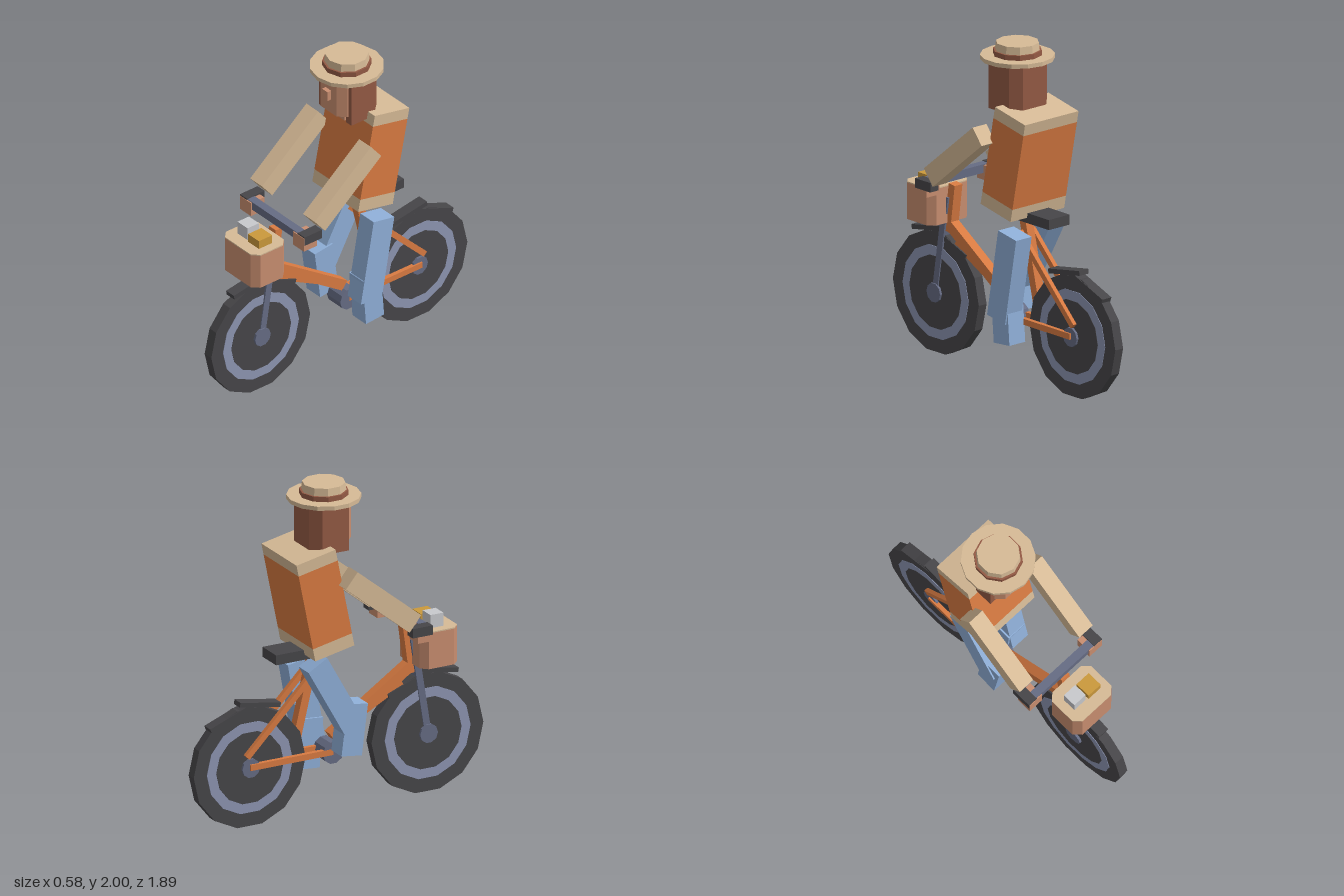
import * as THREE from 'three';

const mat = (name, color) => {
  const m = new THREE.MeshStandardMaterial({ color });
  m.name = name;
  return m;
};

export function createModel() {
  const orange = mat('orange', 0xd97b42), beige = mat('beige', 0xd6ba96), skin = mat('skin', 0xc98e70);
  const brown = mat('brown', 0x945a44), denim = mat('denim', 0x8fafd8), rubber = mat('rubber', 0x474649);
  const steel = mat('steel', 0x666c84), rim = mat('rim', 0x8d95b2);
  const silver = mat('silver', 0xc8c9cd), gold = mat('gold', 0xcb993c);

  const model = new THREE.Group();
  model.name = 'cyclist';
  const group = (name) => {
    const g = new THREE.Group();
    g.name = name;
    model.add(g);
    return g;
  };

  // Faceted mesh
  const add = (parent, name, geo, material) => {
    const flat = geo.index ? geo.toNonIndexed() : geo;
    flat.computeVertexNormals();
    const m = new THREE.Mesh(flat, material);
    m.name = name;
    parent.add(m);
    return m;
  };
  // Box given by its x, y and z ranges
  const box = (parent, name, material, [x0, x1], [y0, y1], [z0, z1]) => {
    const m = add(parent, name, new THREE.BoxGeometry(x1 - x0, y1 - y0, z1 - z0), material);
    m.position.set((x0 + x1) / 2, (y0 + y1) / 2, (z0 + z1) / 2);
    return m;
  };
  // Tilted bar between two [z, y] points at a given x
  const beam = (parent, name, material, x, a, b, width, thick) => {
    const dz = b[0] - a[0], dy = b[1] - a[1];
    const m = add(parent, name, new THREE.BoxGeometry(width, Math.hypot(dz, dy), thick), material);
    m.position.set(x, (a[1] + b[1]) / 2, (a[0] + b[0]) / 2);
    m.rotation.x = Math.atan2(dz, dy);
    return m;
  };
  // Plan outline of [x, z] points raised from y0 to y1
  const prism = (parent, name, material, pts, y0, y1) => {
    const shape = new THREE.Shape(pts.map(([x, z]) => new THREE.Vector2(x, -z)));
    const geo = new THREE.ExtrudeGeometry(shape, { depth: y1 - y0, bevelEnabled: false });
    geo.rotateX(-Math.PI / 2).translate(0, y0, 0);
    return add(parent, name, geo, material);
  };
  // Rectangle with cut corners
  const chamfered = (w, z0, z1, c) => [
    [-w, z0 + c], [-w + c, z0], [w - c, z0], [w, z0 + c],
    [w, z1 - c], [w - c, z1], [-w + c, z1], [-w, z1 - c],
  ];
  // Disc on a sideways axle
  const disc = (parent, name, material, r, width, y, z, sides = 14) => {
    const m = add(parent, name, new THREE.CylinderGeometry(r, r, width, sides).rotateZ(Math.PI / 2), material);
    m.position.set(0, y, z);
  };

  // Wheels with their mudguards
  for (const [name, z] of [['frontWheel', 0.58], ['rearWheel', -0.58]]) {
    const g = group(name);
    disc(g, 'tire', rubber, 0.365, 0.06, 0.358, z);
    disc(g, 'rimRing', rim, 0.28, 0.066, 0.358, z);
    disc(g, 'wheelDisc', rubber, 0.22, 0.07, 0.358, z);
    disc(g, 'hub', steel, 0.058, 0.1, 0.358, z, 10);
    beam(g, 'mudguardFront', rubber, 0, [z + 0.2, 0.705], [z - 0.065, 0.75], 0.07, 0.028);
    beam(g, 'mudguardRear', rubber, 0, [z + 0.03, 0.735], [z - 0.255, 0.625], 0.07, 0.028);
  }

  // Bicycle frame
  const frame = group('frame');
  beam(frame, 'headTube', orange, 0, [0.445, 1.03], [0.485, 0.74], 0.06, 0.05);
  beam(frame, 'downTube', orange, 0, [0.48, 0.785], [-0.04, 0.44], 0.06, 0.065);
  beam(frame, 'lowerTube', orange, 0, [0.42, 0.69], [-0.02, 0.46], 0.05, 0.04);
  beam(frame, 'seatTube', orange, 0, [-0.15, 0.97], [-0.275, 0.45], 0.055, 0.05);
  for (const s of [1, -1]) {
    beam(frame, 'seatStay', orange, s * 0.047, [-0.15, 0.89], [-0.61, 0.43], 0.028, 0.035);
    beam(frame, 'chainStay', orange, s * 0.047, [-0.05, 0.365], [-0.59, 0.365], 0.028, 0.036);
  }
  beam(frame, 'fork', steel, 0, [0.485, 0.95], [0.58, 0.35], 0.085, 0.042);
  disc(frame, 'crank', steel, 0.068, 0.12, 0.36, -0.05, 10);
  box(frame, 'saddle', rubber, [-0.08, 0.08], [0.97, 1.03], [-0.435, -0.165]);

  // Handlebar and grips
  const bars = group('handlebar');
  box(bars, 'bar', steel, [-0.24, 0.24], [1.062, 1.113], [0.415, 0.466]);
  for (const s of [1, -1]) {
    const x = s > 0 ? [0.228, 0.29] : [-0.29, -0.228];
    box(bars, 'grip', rubber, x, [1.06, 1.117], [0.34, 0.47]);
  }

  // Basket and its load
  const basket = group('basket');
  prism(basket, 'basketBody', skin, chamfered(0.155, 0.48, 0.725, 0.04), 0.795, 1.013);
  prism(basket, 'basketTop', beige, chamfered(0.155, 0.48, 0.725, 0.04), 1.013, 1.02);
  box(basket, 'silverParcel', silver, [-0.1, -0.01], [1.01, 1.1], [0.56, 0.645]);
  box(basket, 'goldParcel', gold, [0.005, 0.102], [1.01, 1.073], [0.555, 0.653]);

  // Torso leaning back, in three bands from hem to collar
  const torso = group('torso');
  torso.position.set(0, 1.027, -0.122);
  torso.rotation.x = -0.2;
  for (const [name, m, y0, y1] of [['hem', beige, 0, 0.078], ['shirt', orange, 0.078, 0.548], ['collar', beige, 0.548, 0.618]]) {
    box(torso, name, m, [-0.206, 0.206], [y0, y1], [-0.13, 0.13]);
  }

  // Arms and hands
  for (const s of [1, -1]) {
    const g = group(s > 0 ? 'leftArm' : 'rightArm');
    beam(g, 'sleeve', beige, s * 0.237, [-0.058, 1.484], [0.357, 1.146], 0.106, 0.12);
    box(g, 'hand', skin, s > 0 ? [0.188, 0.287] : [-0.287, -0.188], [1.02, 1.108], [0.375, 0.473]);
  }

  // Legs, one stretched down and one raised
  const left = group('leftLeg');
  beam(left, 'thigh', denim, 0.128, [-0.2, 0.905], [-0.106, 0.382], 0.12, 0.155);
  beam(left, 'shin', denim, 0.117, [-0.118, 0.545], [-0.142, 0.242], 0.122, 0.134);
  const right = group('rightLeg');
  beam(right, 'thigh', denim, -0.128, [-0.222, 0.965], [0.016, 0.54], 0.12, 0.14);
  beam(right, 'shin', denim, -0.118, [0.043, 0.68], [0.003, 0.37], 0.122, 0.134);

  // Head, hair wrapping the back and sides
  const head = group('head');
  prism(head, 'face', skin, chamfered(0.118, -0.18, 0.056, 0.045), 1.66, 1.895);
  box(head, 'nose', skin, [-0.025, 0.025], [1.752, 1.812], [0.05, 0.083]);
  box(head, 'neck', skin, [-0.06, 0.06], [1.595, 1.67], [-0.11, -0.015]);
  prism(head, 'hair', brown, [
    [-0.145, 0.005], [-0.145, -0.17], [-0.09, -0.225], [0.09, -0.225], [0.145, -0.17],
    [0.145, 0.005], [0.095, 0.005], [0.095, -0.11], [-0.095, -0.11], [-0.095, 0.005],
  ], 1.612, 1.9);

  // Hat
  const hat = group('hat');
  const layer = (name, m, r0, r1, y0, y1, sides) => {
    const mesh = add(hat, name, new THREE.CylinderGeometry(r1, r0, y1 - y0, sides), m);
    mesh.position.set(0, (y0 + y1) / 2, -0.08);
  };
  layer('brim', beige, 0.215, 0.215, 1.9, 1.925, 14);
  layer('band', brown, 0.142, 0.142, 1.92, 1.955, 10);
  layer('crown', beige, 0.131, 0.125, 1.95, 2, 10);

  return model;
}
